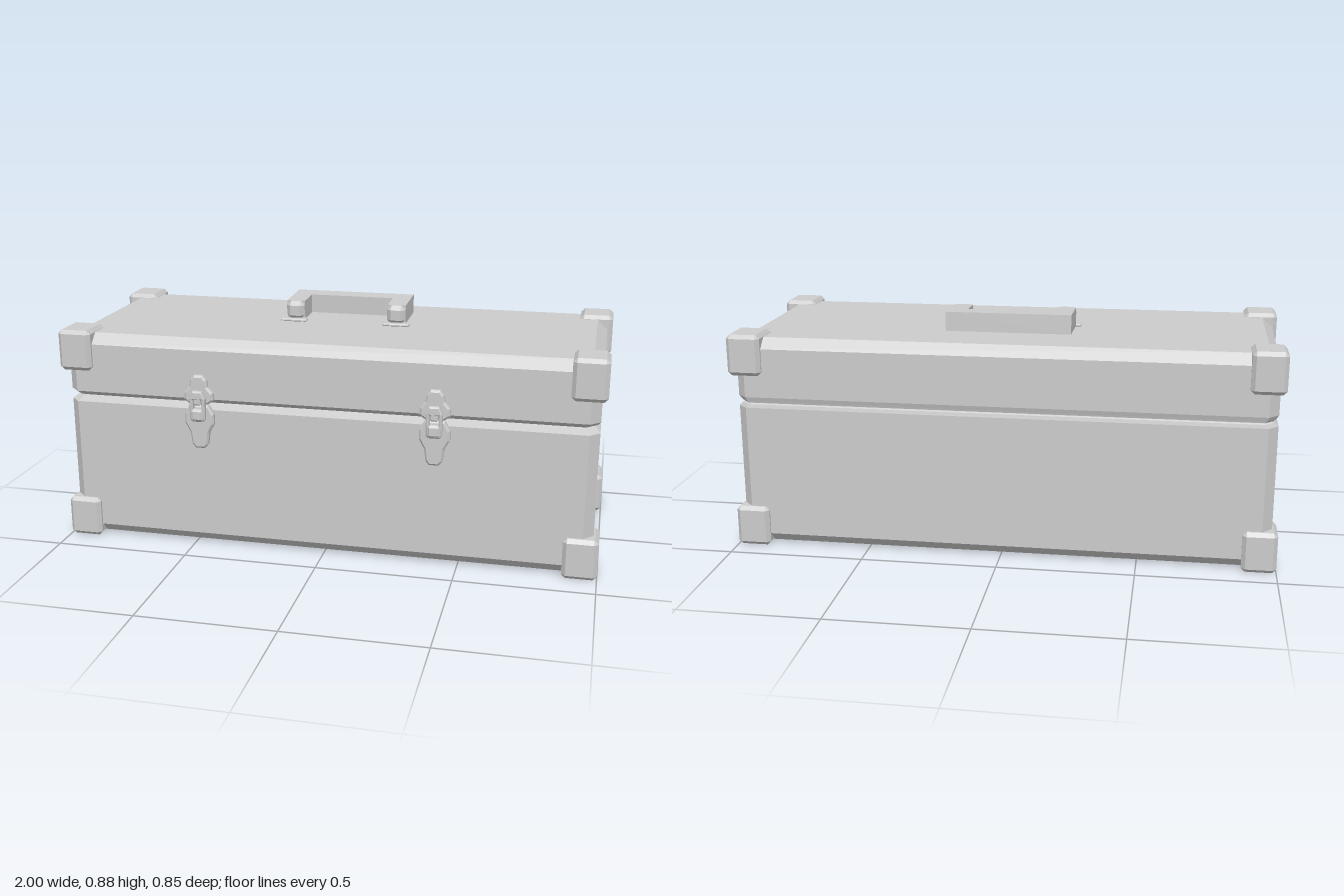
import * as THREE from 'three';

const material = new THREE.MeshStandardMaterial({ color: 0xcccccc, flatShading: true });

function add(parent, name, geometry, x = 0, y = 0, z = 0) {
  const mesh = new THREE.Mesh(geometry, material);
  mesh.name = name;
  mesh.position.set(x, y, z);
  parent.add(mesh);
  return mesh;
}

// Closed solid from stacked rectangles with cut corners.
// Each ring: [y, half width, front z, back z, corner cut]
function ringSolid(rings) {
  const loops = rings.map(([y, w, f, b, c]) => [
    [w - c, y, f], [w, y, f - c], [w, y, b + c], [w - c, y, b],
    [c - w, y, b], [-w, y, b + c], [-w, y, f - c], [c - w, y, f],
  ]);
  const pos = [];
  const tri = (...points) => points.forEach((p) => pos.push(...p));
  for (let r = 0; r + 1 < loops.length; r++) {
    for (let i = 0; i < 8; i++) {
      const j = (i + 1) % 8;
      const lo = loops[r], hi = loops[r + 1];
      tri(lo[i], lo[j], hi[j]);
      tri(lo[i], hi[j], hi[i]);
    }
  }
  const top = loops[loops.length - 1], bottom = loops[0];
  for (let i = 1; i < 7; i++) {
    tri(top[0], top[i], top[i + 1]);
    tri(bottom[0], bottom[i + 1], bottom[i]);
  }
  const geometry = new THREE.BufferGeometry();
  geometry.setAttribute('position', new THREE.Float32BufferAttribute(pos, 3));
  geometry.computeVertexNormals();
  return geometry;
}

// Centred box with all edges chamfered
function chamferBox(w, h, d, c) {
  const x = w / 2, y = h / 2, z = d / 2, e = c * 0.1;
  return ringSolid([
    [-y, x - c, z - c, c - z, e], [c - y, x, z, -z, c],
    [y - c, x, z, -z, c], [y, x - c, z - c, c - z, e],
  ]);
}

// Plate mirrored about x = 0 from [half width, y] points, extruded along z
function plate(half, depth, bevel, hole) {
  const mirror = (h) => [...h, ...[...h].reverse().map(([x, y]) => [-x, y])].map((p) => new THREE.Vector2(...p));
  const shape = new THREE.Shape(mirror(half));
  if (hole) shape.holes.push(new THREE.Path(mirror(hole)));
  const geometry = new THREE.ExtrudeGeometry(shape, {
    depth: depth - bevel, bevelEnabled: true, bevelSegments: 1,
    bevelThickness: bevel, bevelSize: bevel, bevelOffset: -bevel, curveSegments: 4,
  });
  return geometry;
}

function createLatch() {
  const latch = new THREE.Group();
  latch.name = 'latch';
  // Fixed plates on the base and on the lid
  add(latch, 'lowerLatchPlate', plate([
    [0.018, 0.39], [0.03, 0.405], [0.036, 0.45], [0.055, 0.485], [0.055, 0.52], [0.036, 0.555],
  ], 0.022, 0.007), 0, 0, 0.378);
  add(latch, 'upperLatchPlate', plate([
    [0.036, 0.56], [0.055, 0.575], [0.053, 0.602], [0.034, 0.625], [0.03, 0.65], [0.017, 0.667],
  ], 0.022, 0.007), 0, 0, 0.378);
  // Hasp loop bridging the gap, with its lever and hook
  add(latch, 'latchLoop', plate([
    [0.02, 0.497], [0.028, 0.506], [0.03, 0.585], [0.018, 0.612],
  ], 0.02, 0.005, [[0.016, 0.54], [0.016, 0.58]]), 0, 0, 0.399);
  add(latch, 'latchLever', chamferBox(0.046, 0.045, 0.03, 0.008), 0, 0.523, 0.41);
  add(latch, 'latchHook', chamferBox(0.028, 0.03, 0.024, 0.005), 0, 0.574, 0.406);
  return latch;
}

function createHandle() {
  const handle = new THREE.Group();
  handle.name = 'handle';
  // U-shaped grip lying almost flat on the lid
  const outline = [
    [-0.232, 0.03], [-0.162, 0.03], [-0.162, 0.137], [0.162, 0.137],
    [0.162, 0.03], [0.232, 0.03], [0.232, 0.212], [-0.232, 0.212],
  ].map((p) => new THREE.Vector2(...p));
  const grip = new THREE.ExtrudeGeometry(new THREE.Shape(outline), { depth: 0.071, bevelEnabled: false });
  grip.rotateX(-Math.PI / 2);
  const gripGroup = new THREE.Group();
  gripGroup.name = 'grip';
  gripGroup.position.y = 0.798;
  gripGroup.rotation.x = 0.03;
  add(gripGroup, 'gripBar', grip);
  for (const side of [-1, 1]) {
    add(gripGroup, 'gripEnd', chamferBox(0.07, 0.071, 0.06, 0.016), side * 0.197, 0.0355, -0.036);
    // Hinge foot under each end of the grip
    add(handle, 'handleFoot', chamferBox(0.102, 0.012, 0.034, 0.004), side * 0.2, 0.799, -0.008);
  }
  handle.add(gripGroup);
  handle.position.x = -0.003;
  return handle;
}

export function createModel() {
  const model = new THREE.Group();
  model.name = 'toolbox';

  // Base and lid, with a groove where they meet
  add(model, 'base', ringSolid([
    [0.006, 0.942, 0.342, -0.367, 0.002],
    [0.044, 0.98, 0.38, -0.405, 0.036],
    [0.535, 0.98, 0.38, -0.405, 0.036],
    [0.548, 0.965, 0.35, -0.402, 0.03],
    [0.553, 0.955, 0.34, -0.4, 0.03],
  ]));
  add(model, 'lid', ringSolid([
    [0.553, 0.96, 0.345, -0.398, 0.03],
    [0.56, 0.97, 0.36, -0.4, 0.032],
    [0.575, 0.98, 0.38, -0.405, 0.036],
    [0.757, 0.98, 0.38, -0.405, 0.036],
    [0.795, 0.942, 0.342, -0.367, 0.002],
  ]));

  // Corner protectors
  for (const x of [-0.9375, 0.9375]) {
    for (const y of [0.076, 0.734]) {
      for (const z of [0.327, -0.35]) {
        add(model, 'cornerProtector', chamferBox(0.125, 0.152, 0.15, 0.014), x, y, z);
      }
    }
  }

  // Front latches
  for (const x of [-0.46, 0.41]) {
    const latch = createLatch();
    latch.position.x = x;
    model.add(latch);
  }

  model.add(createHandle());
  return model;
}
